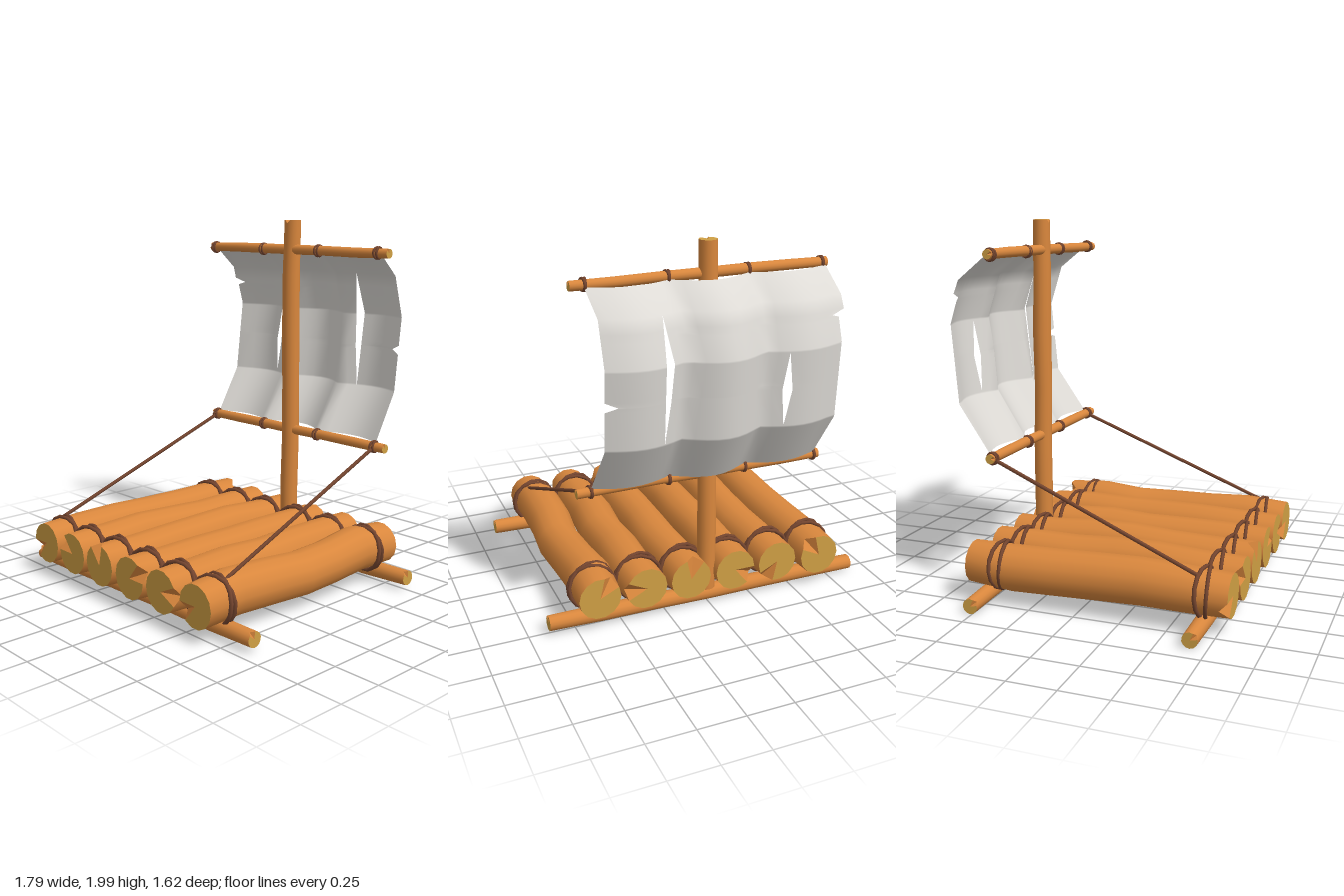
import * as THREE from 'three';
import { mergeGeometries, mergeVertices } from 'three/addons/utils/BufferGeometryUtils.js';

const mat = (name, color, side = THREE.FrontSide) => {
  const m = new THREE.MeshStandardMaterial({ color, side });
  m.name = name;
  return m;
};

export function createModel() {
  const raft = new THREE.Group();
  raft.name = 'raft';
  const wood = mat('wood', 0xd9873d);
  const cut = mat('cut wood', 0xd0a044);
  const rope = mat('rope', 0x74452f);
  const cloth = mat('sail cloth', 0xdedbd6, THREE.DoubleSide);

  let seed = 7;
  const rand = () => ((seed = (seed * 16807) % 2147483647) / 2147483647) * 2 - 1;
  const add = (name, geo, material) => {
    const mesh = new THREE.Mesh(geo, material);
    mesh.name = name;
    raft.add(mesh);
    return mesh;
  };

  // A slightly crooked pole along one axis (0 x, 1 y, 2 z), with a chip out of each end.
  function pole(name, axis, from, to, r, wobble, chipA, chipB, sides = 14, rings = 6) {
    const u = (axis + 1) % 3, v = (axis + 2) % 3;
    const pos = [], woodIdx = [], cutIdx = [], centres = [];
    const chips = [chipA, chipB].map(a => (Math.round(a / 360 * sides) + sides) % sides);
    for (let j = 0; j <= rings; j++) {
      const end = j === 0 || j === rings;
      const c = from.map((f, k) => f + (to[k] - f) * j / rings);
      const rr = r * (end ? 0.95 : 1.02 + 0.03 * rand());
      if (!end) { c[u] += wobble * rand(); c[v] += wobble * rand(); }
      centres.push(c);
      for (let i = 0; i < sides; i++) {
        const a = i / sides * Math.PI * 2, p = [...c];
        p[u] += rr * Math.cos(a);
        p[v] += rr * Math.sin(a);
        if (j === 0 && i === chips[0]) p[axis] += r * 0.38;
        if (j === rings && i === chips[1]) p[axis] -= r * 0.38;
        pos.push(...p);
      }
    }
    for (let j = 0; j < rings; j++) for (let i = 0; i < sides; i++) {
      const a = j * sides + i, b = j * sides + (i + 1) % sides;
      woodIdx.push(a, b, b + sides, a, b + sides, a + sides);
    }
    // End caps; the two faces beside the chip are bare wood
    [0, rings].forEach((j, e) => {
      for (let i = 0; i < sides; i++) {
        const n = (i + 1) % sides, base = pos.length / 3;
        const rim = k => pos.slice((j * sides + k) * 3, (j * sides + k) * 3 + 3);
        pos.push(...centres[j], ...rim(e ? i : n), ...rim(e ? n : i));
        (i === chips[e] || n === chips[e] ? woodIdx : cutIdx).push(base, base + 1, base + 2);
      }
    });
    const g = new THREE.BufferGeometry();
    g.setAttribute('position', new THREE.Float32BufferAttribute(pos, 3));
    g.setIndex([...woodIdx, ...cutIdx]);
    g.addGroup(0, woodIdx.length, 0);
    g.addGroup(woodIdx.length, cutIdx.length, 1);
    g.computeVertexNormals();
    return add(name, g, [wood, cut]);
  }

  // Deck logs with crossed lashings at both ends
  const frontChips = [203, 155, 108, 25, 0, 203], backChips = [40, 300, 200, 95, 350, 130];
  [-0.642, -0.39, -0.137, 0.123, 0.376, 0.636].forEach((x, i) => {
    pole('deckLog', 2, [x, 0.2, -0.6 + 0.015 * rand()], [x, 0.198, 0.81], 0.12, 0.014,
      backChips[i], frontChips[i]);
    for (const z of [0.675, -0.44]) for (const s of [-1, 1]) {
      const ring = add('lashing', new THREE.TorusGeometry(0.127, 0.011, 6, 14), rope);
      ring.position.set(x, 0.2, z + 0.008 * s);
      ring.rotation.set(0.06 * s, 0.17 * s, 0.2 * i);
    }
  });

  // Cross beams, mast and yards
  pole('frontBeam', 0, [-0.9, 0.05, 0.665], [0.895, 0.073, 0.665], 0.043, 0.005, 60, 20);
  pole('backBeam', 0, [-0.9, 0.05, -0.51], [0.895, 0.073, -0.51], 0.043, 0.005, 60, 20);
  pole('mast', 1, [0.0, 0.09, -0.505], [0.01, 2, -0.5], 0.05, 0.005, 0, 355);
  pole('upperYard', 0, [-0.66, 1.833, -0.49], [0.72, 1.828, -0.49], 0.027, 0.003, 80, 30);
  pole('lowerYard', 0, [-0.66, 0.772, -0.502], [0.72, 0.77, -0.502], 0.027, 0.003, 80, 30);

  // Ties holding the sail to the yards
  for (const [y, z] of [[1.83, -0.49], [0.771, -0.502]]) for (const x of [-0.63, -0.212, 0.222, 0.645])
    for (const s of [-1, 1]) {
      const tie = add('sailTie', new THREE.TorusGeometry(0.03, 0.007, 6, 12), rope);
      tie.position.set(x + s * 0.006, y, z);
      tie.rotation.y = Math.PI / 2 + 0.15 * s;
    }

  // Ropes from the lower yard to the front of the deck
  for (const [a, b] of [[[-0.632, 0.77, -0.5], [-0.71, 0.3, 0.66]], [[0.645, 0.77, -0.5], [0.675, 0.3, 0.66]]]) {
    const line = new THREE.LineCurve3(new THREE.Vector3(...a), new THREE.Vector3(...b));
    add('stayRope', new THREE.TubeGeometry(line, 1, 0.01, 6), rope);
  }

  // Sail: three panels whose shared edges part to leave the tears
  const lerpTable = (t, y) => {
    if (y <= t[0][0]) return t[0][1];
    for (let k = 1; k < t.length; k++) if (y <= t[k][0]) {
      const [y0, a] = t[k - 1], [y1, b] = t[k];
      return a + (b - a) * (y - y0) / (y1 - y0);
    }
    return t[t.length - 1][1];
  };
  const belly = [[0.79, 0], [1.05, 0.165], [1.47, 0.21], [1.7, 0.14], [1.82, 0]];
  const sailZ = (x, y) => {
    const t = (x + 0.635) / 0.428;
    const depth = t > 1 && t < 2 ? 0.09 : 0.06;
    return -0.512 - lerpTable(belly, y) - depth * Math.abs(Math.sin(t * Math.PI));
  };
  const edges = [
    [[0.79, -0.63], [1.05, -0.645], [1.59, -0.635], [1.605, -0.59], [1.63, -0.662], [1.82, -0.645]],
    [[1.06, -0.32], [1.26, -0.348], [1.46, -0.32]],
    [[1.06, -0.32], [1.26, -0.298], [1.46, -0.32]],
    [[1.05, 0.33], [1.28, 0.302], [1.47, 0.29], [1.7, 0.33]],
    [[1.05, 0.33], [1.47, 0.338], [1.7, 0.33]],
    [[0.79, 0.645], [1.05, 0.628], [1.26, 0.63], [1.285, 0.57], [1.31, 0.63], [1.7, 0.635], [1.82, 0.65]],
  ];
  const rows = [...new Set([...belly, ...edges.flat()].map(p => p[0]))].sort((a, b) => a - b);
  const panels = [[0, 1, 6], [2, 3, 12], [4, 5, 6]].map(([l, r, cols]) => {
    const g = new THREE.PlaneGeometry(1, 1, cols, rows.length - 1);
    g.deleteAttribute('uv');
    g.deleteAttribute('normal');
    const p = g.attributes.position;
    for (let k = 0; k < p.count; k++) {
      const y = rows[rows.length - 1 - Math.floor(k / (cols + 1))];
      const x = THREE.MathUtils.lerp(lerpTable(edges[l], y), lerpTable(edges[r], y), p.getX(k) + 0.5);
      p.setXYZ(k, x, y, sailZ(x, y));
    }
    return g;
  });
  const sail = mergeVertices(mergeGeometries(panels), 1e-4);
  sail.computeVertexNormals();
  add('sail', sail, cloth);

  return raft;
}
